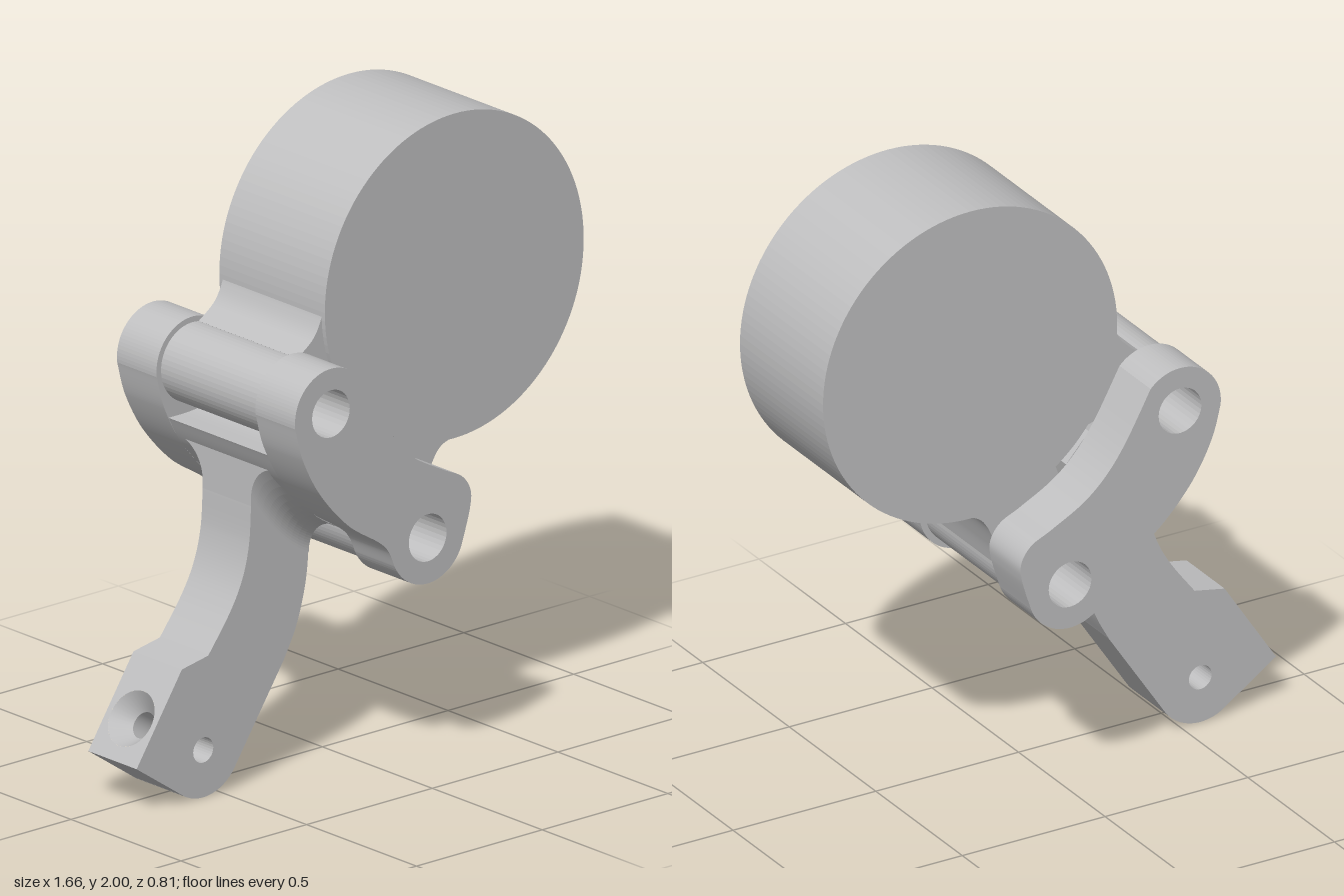
import * as THREE from 'three';

const V = (p) => new THREE.Vector2(p[0], p[1]);
const rad = THREE.MathUtils.degToRad;

// Pivot centres shared by the links and the body lugs
const P = [-0.32, 1.237];
const Q = [0.065, 0.755];

function hole(c, r) {
  return new THREE.Path().absarc(c[0], c[1], r, 0, Math.PI * 2, true);
}

// Extrude a shape between two z values
function slab(shape, z0, z1, seg = 16) {
  const g = new THREE.ExtrudeGeometry(shape, { depth: z1 - z0, bevelEnabled: false, curveSegments: seg });
  return g.translate(0, 0, z0);
}

// Drop the triangles lying on the wall through a with the given normal
function removeWall(geo, a, n) {
  const src = geo.toNonIndexed ? (geo.index ? geo.toNonIndexed() : geo) : geo;
  const p = src.attributes.position;
  const out = [];
  for (let i = 0; i < p.count; i += 3) {
    let onWall = true;
    for (let k = 0; k < 3; k++) {
      const d = (p.getX(i + k) - a[0]) * n.x + (p.getY(i + k) - a[1]) * n.y;
      if (Math.abs(d) > 1e-4) onWall = false;
    }
    if (onWall) continue;
    for (let k = 0; k < 3; k++) out.push(p.getX(i + k), p.getY(i + k), p.getZ(i + k));
  }
  const g = new THREE.BufferGeometry();
  g.setAttribute('position', new THREE.Float32BufferAttribute(out, 3));
  g.computeVertexNormals();
  return g;
}

export function createModel() {
  const model = new THREE.Group();
  const metal = new THREE.MeshStandardMaterial({ color: 0xbfbfc0 });
  metal.name = 'plain grey metal';
  const add = (name, geo, parent = model) => {
    const m = new THREE.Mesh(geo, metal);
    m.name = name;
    parent.add(m);
    return m;
  };

  // Large round body
  const disc = new THREE.Shape().absarc(0.315, 1.485, 0.515, 0, Math.PI * 2);
  add('roundBody', slab(disc, -0.24, 0.24, 60));

  // Upper lug: bored barrel blended into the body
  const upper = new THREE.Shape();
  upper.moveTo(0, 1.5);
  upper.lineTo(-0.185, 1.53);
  upper.splineThru([[-0.203, 1.46], [-0.235, 1.405], [-0.295, 1.36]].map(V));
  upper.absarc(P[0], P[1], 0.125, rad(78), rad(303), false);
  upper.splineThru([[-0.2, 1.165], [-0.15, 1.178], [-0.08, 1.16]].map(V));
  upper.lineTo(0.1, 1.2);
  upper.holes.push(hole(P, 0.06));
  add('upperLug', slab(upper, -0.225, 0.225));

  // Lower lug
  const lower = new THREE.Shape();
  lower.moveTo(0.15, 1.15);
  lower.lineTo(0.02, 1.08);
  lower.splineThru([[0.0, 1.04], [-0.03, 0.93], [-0.057, 0.78]].map(V));
  lower.absarc(Q[0], Q[1], 0.125, rad(168), rad(362), false);
  lower.splineThru([[0.21, 0.83], [0.245, 0.915], [0.285, 0.956], [0.36, 0.974]].map(V));
  lower.lineTo(0.35, 1.1);
  lower.holes.push(hole(Q, 0.06));
  add('lowerLug', slab(lower, -0.225, 0.225));

  // Pair of curved side links
  const link = new THREE.Shape();
  link.absarc(P[0], P[1], 0.143, rad(44), rad(187), false);
  link.splineThru([[-0.43, 1.11], [-0.36, 0.985], [-0.25, 0.865], [-0.13, 0.785], [-0.09, 0.745], [-0.067, 0.694]].map(V));
  link.absarc(Q[0], Q[1], 0.145, rad(205), rad(340), false);
  link.splineThru([[0.233, 0.81], [0.235, 0.87], [0.2, 0.92], [0.13, 0.955], [0.02, 1.015],
    [-0.06, 1.085], [-0.13, 1.18], [-0.217, 1.336]].map(V));
  link.holes.push(hole(P, 0.075), hole(Q, 0.075));
  add('leftLink', slab(link, 0.225, 0.405));
  add('rightLink', slab(link, -0.405, -0.225));

  // Bridge joining the two links between the barrels
  const bridge = new THREE.Shape();
  bridge.moveTo(-0.415, 1.08);
  bridge.splineThru([[-0.36, 0.985], [-0.25, 0.865], [-0.13, 0.785]].map(V));
  bridge.lineTo(-0.09, 0.79);
  bridge.splineThru([[-0.075, 0.86], [-0.055, 0.95], [-0.03, 1.055]].map(V));
  bridge.lineTo(-0.11, 1.145);
  bridge.splineThru([[-0.2, 1.12], [-0.3, 1.085], [-0.415, 1.08]].map(V));
  add('bridge', slab(bridge, -0.225, 0.225));

  // Curved lever arm with a pivot hole
  const a = [-0.835, 0.15];
  const b = [-0.655, 0.425];
  const arm = new THREE.Shape();
  arm.moveTo(...a);
  arm.lineTo(-0.652, 0.025);
  arm.absarc(-0.57, 0.15, 0.15, rad(237), rad(325), false);
  arm.lineTo(-0.25, 0.362);
  arm.splineThru([[-0.2, 0.46], [-0.165, 0.58], [-0.151, 0.7], [-0.15, 0.83]].map(V));
  arm.lineTo(-0.25, 0.95);
  arm.lineTo(-0.38, 1.03);
  arm.lineTo(-0.38, 0.88);
  arm.splineThru([[-0.388, 0.76], [-0.415, 0.655], [-0.465, 0.56], [-0.55, 0.445]].map(V));
  arm.lineTo(...b);
  arm.holes.push(hole([-0.57, 0.15], 0.04));
  const along = new THREE.Vector3(b[0] - a[0], b[1] - a[1], 0);
  const len = along.length();
  along.normalize();
  const out = new THREE.Vector3(-along.y, along.x, 0);
  const w = 0.11;
  add('leverArm', removeWall(slab(arm, -w, w), a, out));

  // Sloping end face with a countersunk bore
  const end = new THREE.Group();
  end.name = 'armEnd';
  end.applyMatrix4(new THREE.Matrix4()
    .makeBasis(along, new THREE.Vector3(0, 0, -1), out)
    .setPosition(a[0], a[1], 0));
  model.add(end);
  const c = [0.137, 0];
  const face = new THREE.Shape([[0, -w], [len, -w], [len, w], [0, w]].map(V));
  face.holes.push(hole(c, 0.09));
  add('endFace', new THREE.ShapeGeometry(face, 32), end);
  const bore = new THREE.LatheGeometry([[0.09, 0], [0.042, -0.06], [0.042, -0.06], [0.042, -0.185], [0.042, -0.185], [0, -0.185]].map(V), 32);
  add('countersunkBore', bore.rotateX(Math.PI / 2).translate(c[0], c[1], 0), end);

  // Flare: filleted T-section swept across the arm, sheared to follow the link edge
  const R = 0.225 - w;
  const tee = new THREE.Shape();
  tee.moveTo(0.225, 0.02);
  tee.lineTo(-0.225, 0.02);
  tee.lineTo(-0.225, 0);
  tee.absarc(-0.225, -R, R, Math.PI / 2, 0, true);
  tee.lineTo(w, -R);
  tee.absarc(0.225, -R, R, Math.PI, Math.PI / 2, true);
  const flare = new THREE.ExtrudeGeometry(tee, { depth: 0.23, steps: 10, bevelEnabled: false, curveSegments: 10 });
  flare.rotateY(Math.PI / 2).translate(-0.38, 0, 0);
  const fp = flare.attributes.position;
  for (let i = 0; i < fp.count; i++) {
    const t = (fp.getX(i) + 0.38) / 0.23;
    fp.setY(i, fp.getY(i) + 1.02 - 0.34 * t + 0.118 * t * t);
  }
  flare.computeVertexNormals();
  add('armFlare', flare);

  return model;
}
